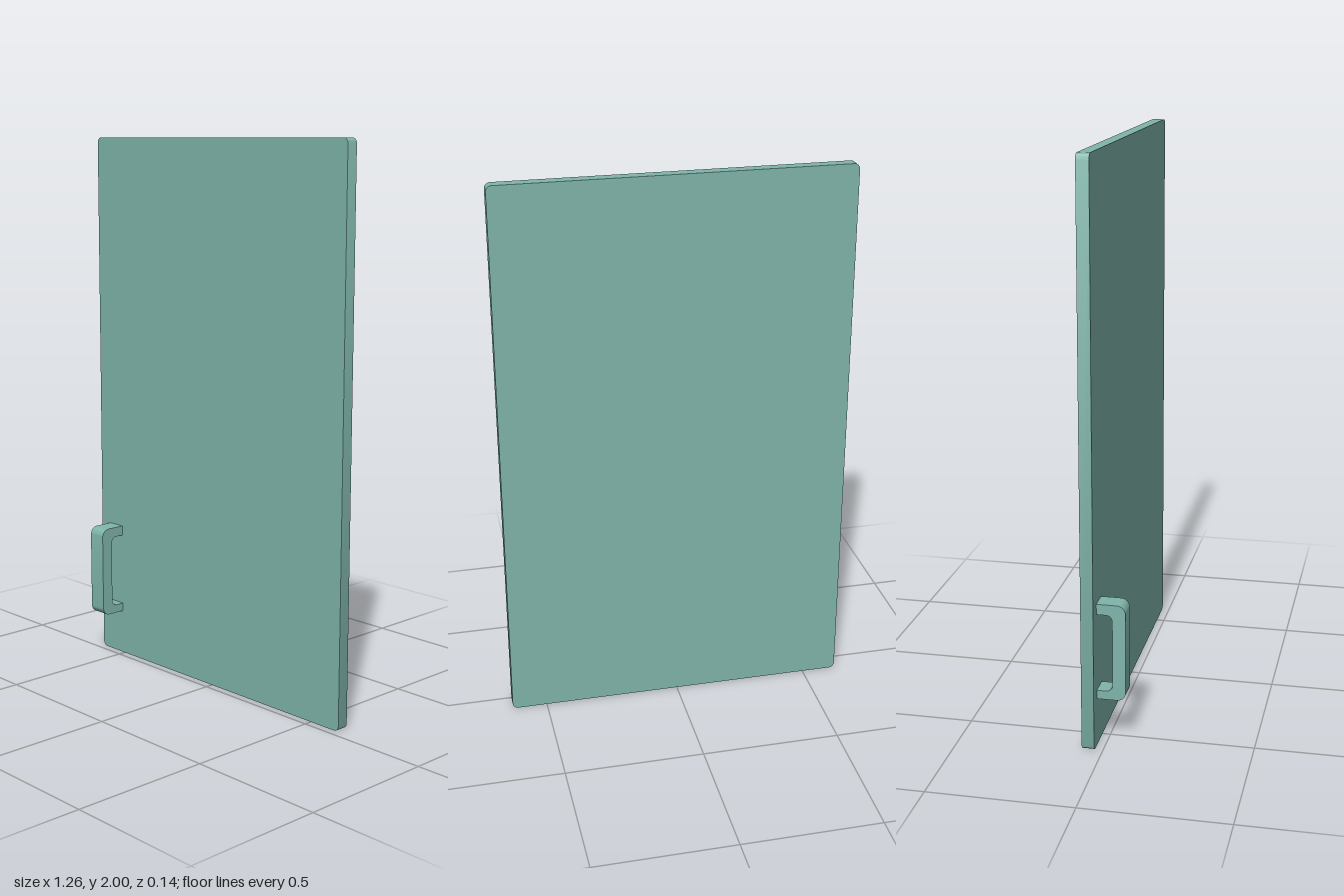
import * as THREE from 'three';
import { toCreasedNormals } from 'three/addons/utils/BufferGeometryUtils.js';

// Trace a rectangle with a corner radius for each corner (right side, left side)
function roundedRect(path, x0, y0, x1, y1, rRight, rLeft) {
  path.moveTo(x0 + rLeft, y0);
  path.lineTo(x1 - rRight, y0);
  path.absarc(x1 - rRight, y0 + rRight, rRight, -Math.PI / 2, 0, false);
  path.absarc(x1 - rRight, y1 - rRight, rRight, 0, Math.PI / 2, false);
  path.lineTo(x0 + rLeft, y1);
  path.absarc(x0 + rLeft, y1 - rLeft, rLeft, Math.PI / 2, Math.PI, false);
  path.absarc(x0 + rLeft, y0 + rLeft, rLeft, Math.PI, Math.PI * 1.5, false);
  return path;
}

function extrude(shape, depth) {
  const geometry = new THREE.ExtrudeGeometry(shape, { depth, bevelEnabled: false, curveSegments: 8 });
  return toCreasedNormals(geometry, Math.PI / 6);
}

export function createModel() {
  const model = new THREE.Group();
  model.name = 'cabinetDoor';
  const paint = new THREE.MeshStandardMaterial({ color: 0x7fb5ab });
  paint.name = 'sage green';

  // Door panel with slightly rounded corners
  const panelShape = roundedRect(new THREE.Shape(), -0.628, 0, 0.628, 2, 0.02, 0.02);
  const panel = new THREE.Mesh(extrude(panelShape, 0.043), paint);
  panel.name = 'doorPanel';
  panel.position.z = -0.071;
  model.add(panel);

  // C-shaped pull handle: side profile drawn as (z, y), extruded across x
  const back = -0.028, front = 0.071, inner = 0.026;
  const bottom = 0.17, top = 0.513, rOut = 0.03, rIn = 0.022;
  const profile = new THREE.Shape();
  profile.moveTo(back, bottom);
  profile.lineTo(front - rOut, bottom);
  profile.absarc(front - rOut, bottom + rOut, rOut, -Math.PI / 2, 0, false);
  profile.absarc(front - rOut, top - rOut, rOut, 0, Math.PI / 2, false);
  profile.lineTo(back, top);
  profile.lineTo(back, 0.476);
  profile.absarc(inner - rIn, 0.476 - rIn, rIn, Math.PI / 2, 0, true);
  profile.absarc(inner - rIn, 0.201 + rIn, rIn, 0, -Math.PI / 2, true);
  profile.lineTo(back, 0.201);
  profile.closePath();
  const handle = new THREE.Mesh(extrude(profile, 0.071), paint);
  handle.name = 'pullHandle';
  handle.rotation.y = -Math.PI / 2;
  handle.position.x = -0.508;
  model.add(handle);

  return model;
}
